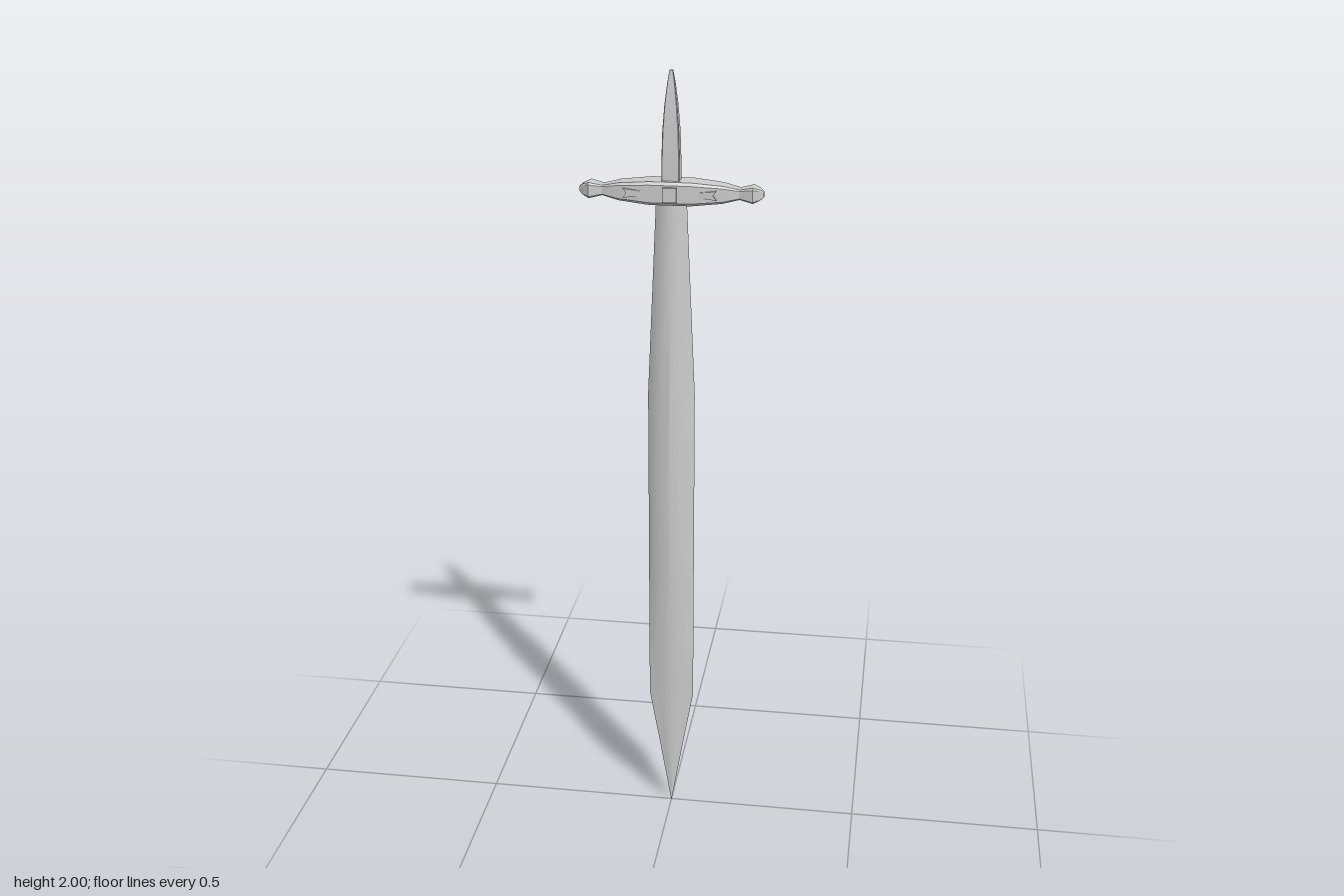
import * as THREE from 'three';
import { toCreasedNormals } from 'three/addons/utils/BufferGeometryUtils.js';

const material = new THREE.MeshStandardMaterial({ color: 0xcccccc });

// Skins rings of points (counter-clockwise about the direction of travel) and caps both ends
function loft(rings, crease) {
  const n = rings[0].length, last = rings.length - 1;
  const points = rings.flat(), index = [];
  for (let i = 0; i < last; i++) {
    for (let j = 0; j < n; j++) {
      const a = i * n + j, b = i * n + (j + 1) % n;
      index.push(a, b, b + n, a, b + n, a + n);
    }
  }
  for (let j = 1; j < n - 1; j++) {
    index.push(0, j + 1, j, last * n, last * n + j, last * n + j + 1);
  }
  const geometry = new THREE.BufferGeometry();
  geometry.setAttribute('position', new THREE.Float32BufferAttribute(points.flat(), 3));
  geometry.setIndex(index);
  return toCreasedNormals(geometry, crease);
}

// Rectangle with cut corners, as [u, v] pairs running from +u towards +v
function chamferedRect(u, v, cut) {
  const c = Math.min(u, v) * cut;
  return [[u, v - c], [u - c, v], [c - u, v], [-u, v - c],
    [-u, c - v], [c - u, -v], [u - c, -v], [u, c - v]];
}

function part(name, geometry, parent, x = 0, y = 0, z = 0) {
  const mesh = new THREE.Mesh(geometry, material);
  mesh.name = name;
  mesh.position.set(x, y, z);
  parent.add(mesh);
  return mesh;
}

export function createModel() {
  const sword = new THREE.Group();
  sword.name = 'sword';

  // Blade: height, half width, half width of the raised middle, half thickness
  const bladeStations = [
    [0, 0.001, 0.0005, 0.0005],
    [0.18, 0.031, 0.017, 0.006],
    [0.34, 0.059, 0.034, 0.012],
    [0.5, 0.059, 0.041, 0.02],
    [0.7, 0.059, 0.046, 0.029],
    [1.2, 0.059, 0.046, 0.03],
    [1.45, 0.048, 0.037, 0.023],
    [1.7, 0.037, 0.029, 0.016],
  ];
  const bladeRings = bladeStations.map(([y, w, m, d]) => {
    const quarter = [[0, d], [m * 0.5, d * 0.86], [m, d * 0.45]];
    const right = [...quarter, [w, 0], ...quarter.slice(1).reverse().map(([x, z]) => [x, -z])];
    const left = right.slice(1).map(([x, z]) => [-x, -z]);
    return [...right, [0, -d], ...left].map(([x, z]) => [x, y, z]);
  });
  part('blade', loft(bladeRings, 0.35), sword);

  // Grip: square bar tapering to a blunt point
  const gripRings = [
    [1.69, 0.021, 0.017], [1.78, 0.022, 0.017], [1.86, 0.0195, 0.0165],
    [1.92, 0.015, 0.013], [1.97, 0.009, 0.008], [2, 0.004, 0.004],
  ].map(([y, x, z]) => chamferedRect(z, x, 0.12).map(([v, u]) => [u, y, v]));
  part('grip', loft(gripRings, 0.5), sword);

  // Crossguard: distance from the middle, half height, half depth
  const guard = new THREE.Group();
  guard.name = 'crossguard';
  guard.position.y = 1.715;
  sword.add(guard);
  const halfGuard = [
    [0.05, 0.028, 0.036], [0.125, 0.021, 0.027], [0.165, 0.012, 0.017],
    [0.197, 0.019, 0.026], [0.213, 0.013, 0.015], [0.222, 0.006, 0.006],
  ];
  const guardRings = [...halfGuard.map(([x, h, d]) => [-x, h, d]).reverse(), ...halfGuard]
    .map(([x, h, d]) => chamferedRect(h, d, 0.25).map(([y, z]) => [x, y, z]));
  part('guardBar', loft(guardRings, 0.5), guard);

  // Square studs at the middle of the guard
  part('frontStud', new THREE.BoxGeometry(0.034, 0.034, 0.03), guard, 0.001, 0, 0.029);
  part('backStud', new THREE.BoxGeometry(0.044, 0.036, 0.03), guard, 0.006, 0, -0.032);

  // Wedge ornaments on the front of the guard
  for (const side of [-1, 1]) {
    const wedge = new THREE.Shape([
      new THREE.Vector2(0.068, -0.006), new THREE.Vector2(0.112, -0.011),
      new THREE.Vector2(0.104, 0), new THREE.Vector2(0.112, 0.011), new THREE.Vector2(0.068, 0.006),
    ].map((p) => p.setX(p.x * side)));
    part('guardOrnament', new THREE.ExtrudeGeometry(wedge, { depth: 0.012, bevelEnabled: false }),
      guard, 0, 0, 0.0235);
  }
  return sword;
}
